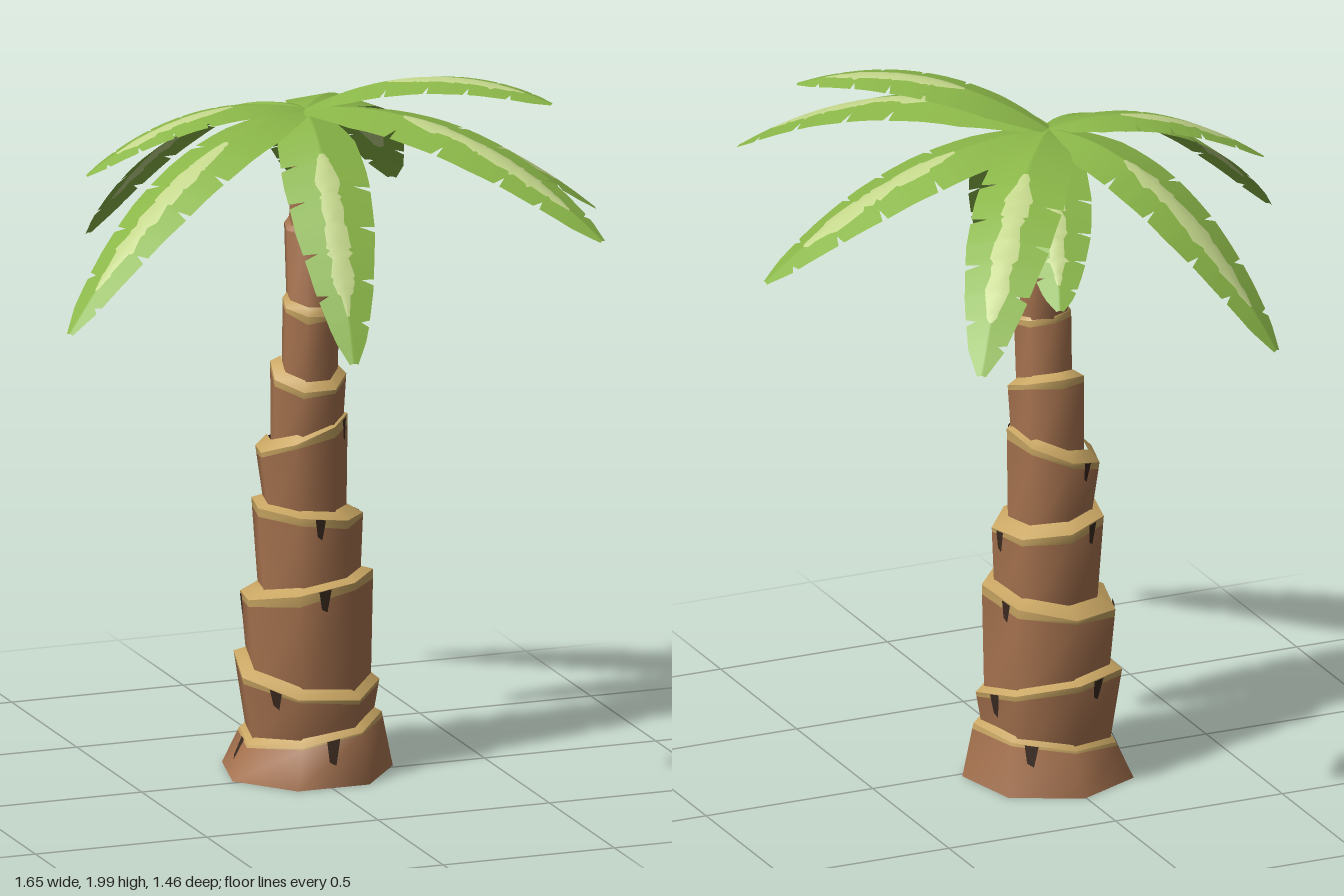
import * as THREE from 'three';

const mat = (name, color, side = THREE.FrontSide) => {
  const m = new THREE.MeshStandardMaterial({ color, side });
  m.name = name;
  return m;
};

let seed = 7;
const rand = () => (seed = (seed * 16807) % 2147483647) / 2147483647;
const lerp = THREE.MathUtils.lerp;

const SIDES = 7;

// Ring of points: centre, radius and the slopes of a tilted rim
function ring([x, y, z], r, sx = 0, sz = 0) {
  return Array.from({ length: SIDES }, (_, i) => {
    const a = ((i + 0.5) / SIDES) * Math.PI * 2;
    const dx = Math.sin(a) * r, dz = Math.cos(a) * r;
    return new THREE.Vector3(x + dx, y + dx * sx + dz * sz, z + dz);
  });
}

function geometryFrom(points, index) {
  const g = new THREE.BufferGeometry().setFromPoints(points);
  g.setIndex(index);
  g.computeVertexNormals();
  return g;
}

// Skin between successive rings, facing outwards
function loft(rings) {
  const index = [];
  for (let k = 0; k < rings.length - 1; k++) {
    for (let i = 0; i < SIDES; i++) {
      const j = (i + 1) % SIDES, lo = k * SIDES, hi = lo + SIDES;
      index.push(lo + i, lo + j, hi + j, lo + i, hi + j, hi + i);
    }
  }
  return geometryFrom(rings.flat(), index);
}

function add(group, name, geometry, material) {
  const m = new THREE.Mesh(geometry, material);
  m.name = name;
  group.add(m);
}

// Trunk segments: bottom centre, bottom radius, top centre, top radius, rim slopes
const SEGMENTS = [
  [[0.005, 0, -0.07], 0.24, [0.015, 0.125, -0.07], 0.2, 0.15, 0],
  [[0.01, 0.1, -0.075], 0.175, [0.005, 0.275, -0.075], 0.205, -0.1, -0.2],
  [[0.015, 0.24, -0.075], 0.172, [0.005, 0.525, -0.073], 0.187, 0.15, 0.13],
  [[0.01, 0.48, -0.065], 0.142, [0.005, 0.74, -0.067], 0.157, -0.13, 0],
  [[0, 0.7, -0.06], 0.113, [-0.012, 0.955, -0.065], 0.13, 0.35, 0.15],
  [[0, 0.92, -0.058], 0.1, [0, 1.13, -0.043], 0.107, 0, -0.33],
  [[0.003, 1.09, -0.04], 0.078, [0.003, 1.32, -0.028], 0.08, -0.1, -0.2],
  [[0.005, 1.29, -0.03], 0.069, [0.012, 1.53, -0.08], 0.065, 0, -0.15],
  [[0.01, 1.49, -0.08], 0.052, [0, 1.86, -0.05], 0.035, 0, 0],
];

// Dark chips: segment, facet, position along the facet
const CHIPS = [
  [0, 6, 0.5], [0, 2, 0.3], [0, 4, 0.6], [1, 1, 0.5], [1, 3, 0.4], [1, 5, 0.6],
  [2, 6, 0.45], [2, 1, 0.7], [2, 4, 0.3], [3, 6, 0.4], [3, 1, 0.3], [3, 3, 0.6], [4, 0, 0.6], [4, 3, 0.5],
];

function buildTrunk(bark, band, chip) {
  const trunk = new THREE.Group();
  trunk.name = 'trunk';
  const walls = SEGMENTS.map(([b, rb, t, rt, sx, sz]) => [ring(b, rb), ring(t, rt, sx, sz)]);
  SEGMENTS.forEach(([, , t, rt, sx, sz], n) => {
    const [lo, hi] = walls[n];
    const next = SEGMENTS[n + 1];
    const ringed = n < 7;
    // Uneven lower edge of the pale rim
    const edge = hi.map((p, i) => p.clone().lerp(lo[i], ringed ? 0.04 + 0.07 * rand() : 0));
    add(trunk, 'trunkSegment', loft([lo, edge]), bark);
    if (ringed) add(trunk, 'trunkRim', loft([edge, hi]), band);
    if (next) {
      const inner = ring([t[0], t[1] + 0.022, t[2]], Math.min(next[1], rt) * 0.97, sx, sz);
      add(trunk, 'trunkShoulder', loft([hi, inner]), ringed ? band : bark);
    }
  });
  add(trunk, 'trunkBase', loft([ring(SEGMENTS[0][0], 0.001), walls[0][0]]), bark);

  // Chips lie just proud of the bark
  for (const [n, f, u] of CHIPS) {
    const [lo, hi] = walls[n], g = (f + 1) % SIDES;
    const a = ((f + 1) / SIDES) * Math.PI * 2;
    const out = new THREE.Vector3(Math.sin(a), 0, Math.cos(a)).multiplyScalar(0.005);
    const at = (s, v) => lo[f].clone().lerp(lo[g], s).lerp(hi[f].clone().lerp(hi[g], s), v).add(out);
    const h = 0.05 / (hi[f].y - lo[f].y);
    const pts = [at(u - 0.06, 1 - h), at(u + 0.04, 1 - 1.2 * h), at(u + 0.12, 1), at(u - 0.1, 1)];
    add(trunk, 'barkChip', geometryFrom(pts, [0, 1, 2, 0, 2, 3]), chip);
  }
  return trunk;
}

// Fronds: tip position, height of the arch control point, half width
const CROWN = new THREE.Vector3(0, 1.87, -0.06);
const FRONDS = [
  ['frontLeftUpperFrond', [0.555, 1.94, 0.375], 2.07, 0.1],
  ['frontLeftLowerFrond', [0.57, 1.64, 0.725], 1.99, 0.125],
  ['leftFrond', [0.82, 1.53, 0.005], 1.885, 0.13],
  ['backLeftFrond', [0.505, 1.46, -0.725], 1.91, 0.125],
  ['backFrond', [0.18, 1.53, -0.53], 1.78, 0.105],
  ['backRightFrond', [-0.385, 1.39, -0.715], 1.91, 0.12],
  ['rightUpperFrond', [-0.61, 1.72, -0.135], 1.95, 0.085],
  ['frontRightFrond', [-0.82, 1.4, 0.29], 1.9, 0.115],
  ['frontFrond', [-0.1, 1.32, 0.58], 1.85, 0.12],
];
const PROFILE = [[0, 0.25], [0.1, 0.6], [0.22, 0.9], [0.42, 1], [0.62, 0.92], [0.8, 0.68], [0.93, 0.4], [1, 0.1]];

function profileAt(t) {
  const k = Math.max(1, PROFILE.findIndex((p) => p[0] >= t - 1e-9));
  const [t0, w0] = PROFILE[k - 1], [t1, w1] = PROFILE[k];
  return lerp(w0, w1, (t - t0) / (t1 - t0));
}

function buildFrond([, tip, archY, half], materials) {
  const end = new THREE.Vector3(...tip);
  const mid = CROWN.clone().lerp(end, 0.5).setY(archY);
  const curve = new THREE.QuadraticBezierCurve3(CROWN, mid, end);
  const side = new THREE.Vector3(end.z - CROWN.z, 0, CROWN.x - end.x).normalize();

  // Slits cut into each edge
  const cuts = [[0.37, 0.53, 0.69, 0.84], [0.45, 0.61, 0.77, 0.91]]
    .map((row) => row.map((t) => t + (rand() - 0.5) * 0.04));
  const all = cuts.flat();
  const stations = Array.from({ length: 19 }, (_, i) => i / 18)
    .filter((t) => all.every((c) => Math.abs(t - c) > 0.014))
    .concat(all.flatMap((c) => [c - 0.009, c, c + 0.009]))
    .sort((a, b) => a - b);

  const points = [], blade = [], stripe = [];
  const striped = (t) => t > 0.33 && t < 0.86;
  stations.forEach((t, i) => {
    const p = curve.getPoint(t), full = half * profileAt(t);
    const [wl, wr] = cuts.map((row) => full * (row.includes(t) ? 0.6 : 1));
    const s = striped(t) ? Math.min(full * 0.45, half * (0.18 + 0.14 * rand()) * Math.min(1, (t - 0.3) * 8, (0.9 - t) * 8)) : 0.004;
    // Cross-section folded down from the midrib
    for (const w of [-wl, -s, 0, s, wr]) {
      const q = p.clone().addScaledVector(side, w);
      q.y -= Math.abs(w) * 0.25;
      points.push(q);
    }
    if (i === stations.length - 1) return;
    for (let j = 0; j < 4; j++) {
      const a = i * 5 + j, c = a + 5;
      const list = (j === 1 || j === 2) && striped(t) ? stripe : blade;
      list.push(a, c, a + 1, a + 1, c, c + 1);
    }
  });
  const g = geometryFrom(points, [...blade, ...stripe]);
  g.addGroup(0, blade.length, 0);
  g.addGroup(blade.length, stripe.length, 1);
  return new THREE.Mesh(g, materials);
}

export function createModel() {
  const bark = mat('bark brown', 0xa87450);
  const band = mat('rim tan', 0xc9a663);
  const chip = mat('chip dark brown', 0x3a2a20, THREE.DoubleSide);
  const leaf = mat('leaf green', 0x8ab648, THREE.DoubleSide);
  const pale = mat('leaf pale green', 0xc3d68a, THREE.DoubleSide);

  const model = new THREE.Group();
  model.name = 'palmTree';
  model.add(buildTrunk(bark, band, chip));

  const crown = new THREE.Group();
  crown.name = 'crown';
  for (const f of FRONDS) {
    const frond = buildFrond(f, [leaf, pale]);
    frond.name = f[0];
    crown.add(frond);
  }
  model.add(crown);
  return model;
}
